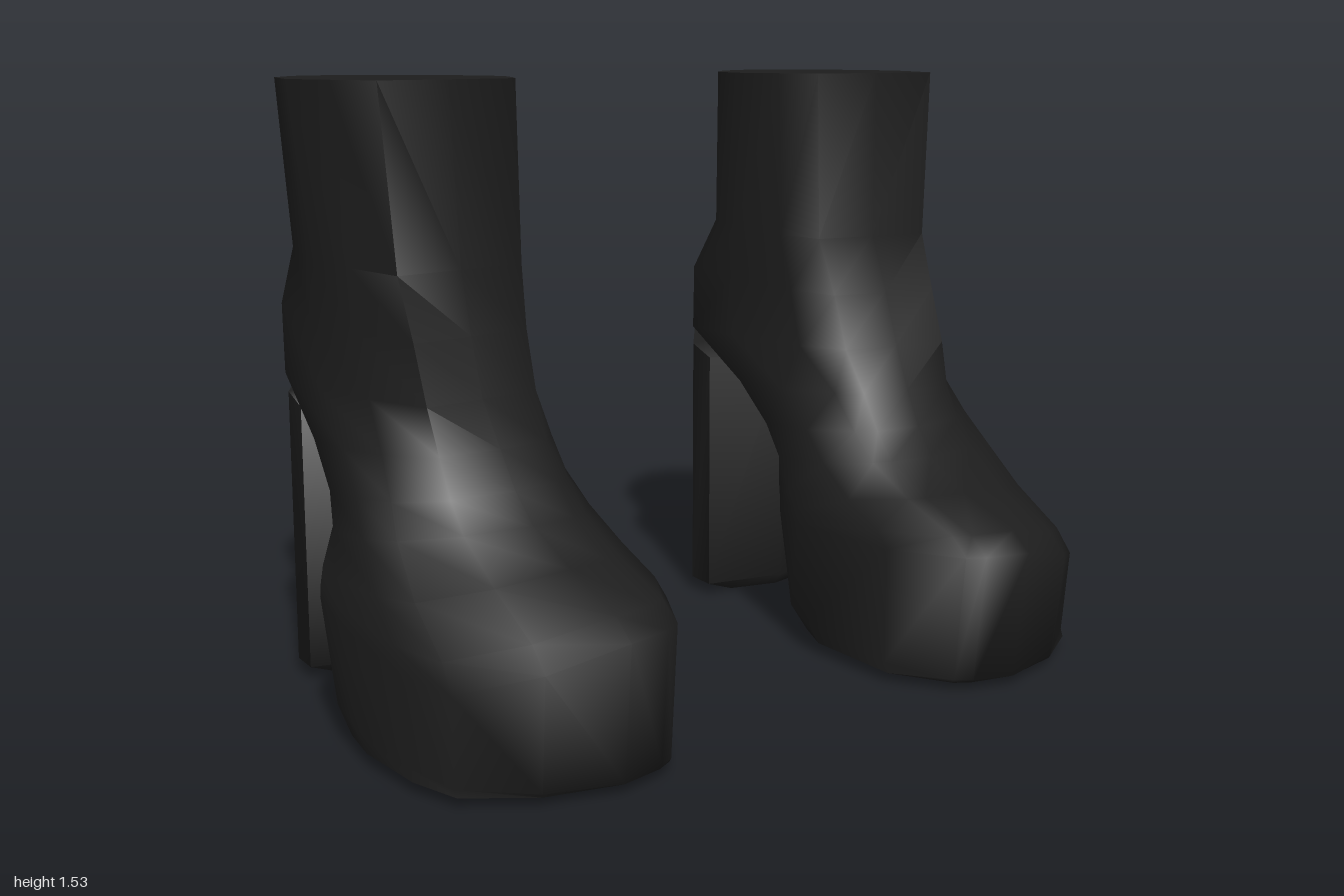
import * as THREE from 'three';
import { toCreasedNormals } from 'three/addons/utils/BufferGeometryUtils.js';

// Outlines as [across (-1 inner .. 1 outer), along (0 front .. 1 back)]
const SHAFT = [[0, 0.02], [0.64, 0], [0.83, 0.22], [1, 0.43], [0.82, 0.74], [0.48, 0.94],
  [0.03, 1], [-0.42, 0.89], [-0.82, 0.67], [-1, 0.43], [-0.83, 0.22], [-0.65, 0.05]];
const ANKLE = [[0, 0.02], [0.6, 0], [0.85, 0.2], [1, 0.43], [0.93, 0.72], [0.5, 0.925],
  [-0.02, 1], [-0.48, 0.93], [-1, 0.73], [-1, 0.5], [-0.85, 0.2], [-0.62, 0.05]];
const PLATFORM = [[-0.2, 0], [0.35, 0.07], [0.82, 0.24], [0.95, 0.46], [1, 0.8], [0.95, 1],
  [0, 1], [-0.87, 0.98], [-1, 0.8], [-0.97, 0.33], [-0.68, 0.08], [-0.55, 0.04]];
const HEEL = [[0, 0], [0.93, 0.15], [0.92, 0.4], [0.45, 0.81], [0, 1], [-0.5, 0.88], [-1, 0.4], [-1.01, 0.13]];

// Rings from top to bottom: front z, front y, back z, back y, centre x, half width,
// outline (0 shaft, 1 ankle, 2 platform), droop of the outer toe
const BOOT_RINGS = [
  [0.03, 1.53, -0.58, 1.53, 0.65, 0.29, 0, 0],
  [0.045, 1.09, -0.57, 1.13, 0.635, 0.27, 0.2, 0],
  [0.10, 0.94, -0.665, 0.99, 0.64, 0.26, 0.9, 0],
  [0.15, 0.80, -0.685, 0.80, 0.64, 0.255, 1, 0],
  [0.20, 0.69, -0.37, 0.67, 0.65, 0.265, 1.4, 0],
  [0.25, 0.60, -0.20, 0.57, 0.655, 0.28, 1.6, 0],
  [0.31, 0.53, -0.11, 0.49, 0.66, 0.30, 1.8, 0],
  [0.45, 0.46, -0.06, 0.41, 0.663, 0.32, 2, 0.06],
  [0.63, 0.40, -0.05, 0.37, 0.665, 0.33, 2, 0.12],
  [0.69, 0.355, -0.045, 0.34, 0.665, 0.335, 2, 0.15],
  [0.655, 0.025, 0.01, 0.09, 0.66, 0.33, 2, 0],
  [0.645, 0.02, 0.08, 0.035, 0.66, 0.328, 2, 0],
  [0.61, 0.008, 0.11, 0.033, 0.65, 0.2, 2, 0],
];
const HEEL_RINGS = [
  [-0.36, 0.70, -0.675, 0.81, 0.64, 0.235, 0, 0],
  [-0.36, 0.033, -0.68, 0.04, 0.64, 0.235, 0, 0],
  [-0.385, 0, -0.55, 0.035, 0.64, 0.15, 0, 0],
];

// Skin a stack of tilted rings and close both ends; side = -1 mirrors it
function loft(rings, outlines, side) {
  const n = outlines[0].length;
  const pos = [];
  const index = [];
  const tri = (a, b, c) => (side > 0 ? index.push(a, b, c) : index.push(a, c, b));
  for (const [fz, fy, bz, by, cx, hw, k, droop] of rings) {
    const from = outlines[Math.floor(k)], to = outlines[Math.ceil(k)];
    for (let i = 0; i < n; i++) {
      const s = THREE.MathUtils.lerp(from[i][0], to[i][0], k % 1);
      const t = THREE.MathUtils.lerp(from[i][1], to[i][1], k % 1);
      const drop = droop * Math.max(0, s) * (1 - t);
      pos.push(side * (cx + s * hw), fy + (by - fy) * t - drop, fz + (bz - fz) * t);
    }
  }
  for (let r = 0; r < rings.length - 1; r++) {
    for (let i = 0; i < n; i++) {
      const a = r * n + i, a1 = r * n + (i + 1) % n;
      tri(a + n, a1 + n, a1);
      tri(a + n, a1, a);
    }
  }
  // End caps
  const last = (rings.length - 1) * n;
  for (const start of [0, last]) {
    const [fz, fy, bz, by, cx] = rings[start / n];
    const c = pos.length / 3;
    pos.push(side * cx, (fy + by) / 2, (fz + bz) / 2);
    for (let i = 0; i < n; i++) {
      const p = start + i, q = start + (i + 1) % n;
      if (start === 0) tri(c, p, q);
      else tri(c, q, p);
    }
  }
  const geo = new THREE.BufferGeometry();
  geo.setAttribute('position', new THREE.Float32BufferAttribute(pos, 3));
  geo.setIndex(index);
  return toCreasedNormals(geo, 1.25);
}

export function createModel() {
  const leather = new THREE.MeshStandardMaterial({ color: 0x1d1d1d });
  leather.name = 'black leather';
  const model = new THREE.Group();
  model.name = 'platformBoots';

  for (const side of [1, -1]) {
    const boot = new THREE.Group();
    boot.name = side > 0 ? 'leftBoot' : 'rightBoot';
    // Shaft, foot and platform sole in one skin
    const upper = new THREE.Mesh(loft(BOOT_RINGS, [SHAFT, ANKLE, PLATFORM], side), leather);
    upper.name = 'upperAndPlatform';
    // Tall block heel
    const heel = new THREE.Mesh(loft(HEEL_RINGS, [HEEL], side), leather);
    heel.name = 'blockHeel';
    boot.add(upper, heel);
    model.add(boot);
  }
  return model;
}
